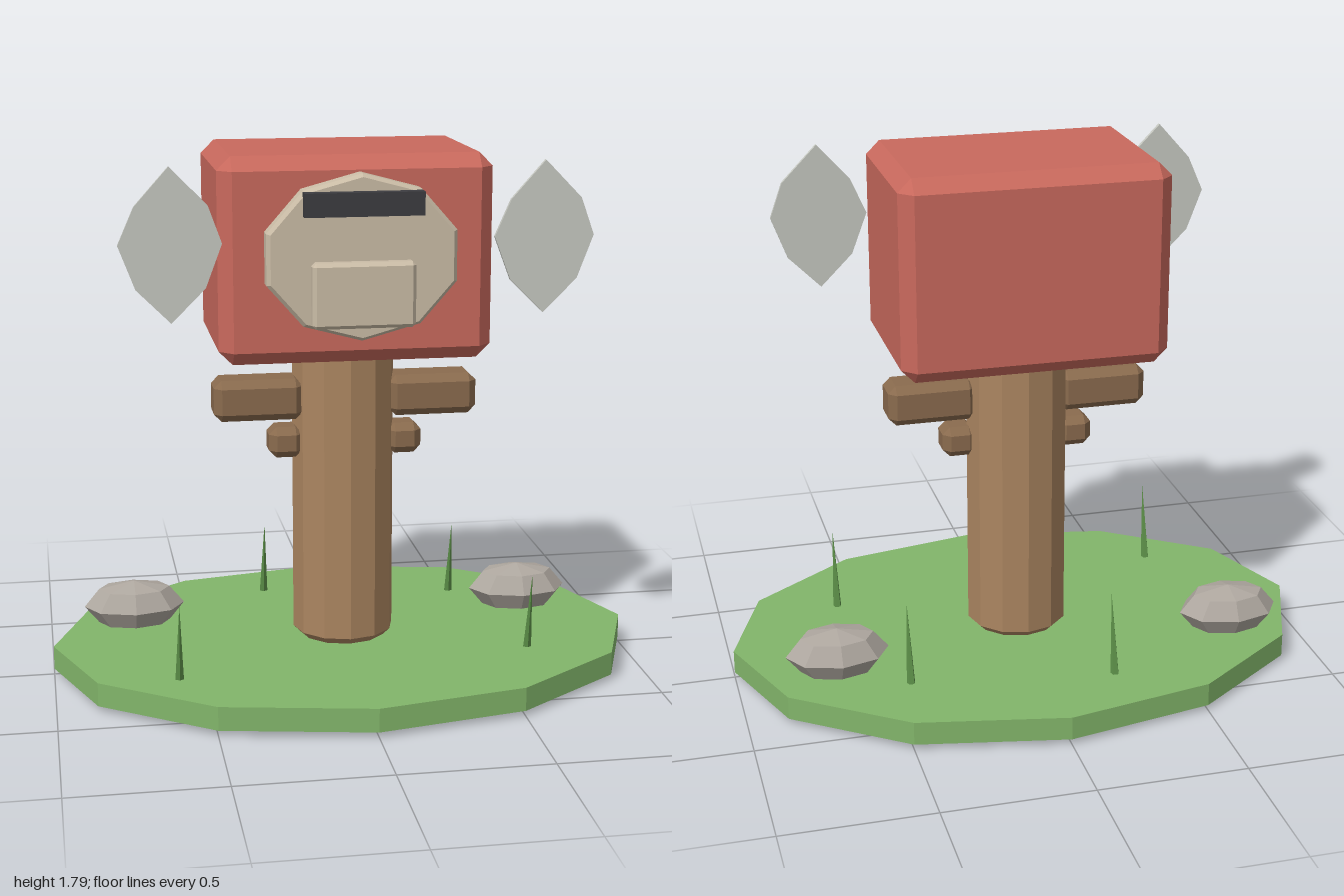
import * as THREE from 'three';
import { ConvexGeometry } from 'three/addons/geometries/ConvexGeometry.js';

function material(name, color) {
  const m = new THREE.MeshStandardMaterial({ color, flatShading: true });
  m.name = name;
  return m;
}

// Box with chamfered edges and corners
function chamferBox(w, h, d, c) {
  const points = [];
  for (const sx of [-1, 1]) for (const sy of [-1, 1]) for (const sz of [-1, 1]) {
    const x = w / 2, y = h / 2, z = d / 2;
    points.push(
      new THREE.Vector3(sx * x, sy * (y - c), sz * (z - c)),
      new THREE.Vector3(sx * (x - c), sy * y, sz * (z - c)),
      new THREE.Vector3(sx * (x - c), sy * (y - c), sz * z));
  }
  return new ConvexGeometry(points);
}

// Upright prism with chamfered rims
function chamferPrism(r, h, c, sides) {
  const profile = [[0, -h / 2], [r - c, -h / 2], [r, -h / 2 + c], [r, h / 2 - c], [r - c, h / 2], [0, h / 2]];
  return new THREE.LatheGeometry(profile.map(([x, y]) => new THREE.Vector2(x, y)), sides);
}

export function createModel() {
  const model = new THREE.Group();
  const red = material('red paint', 0xc9695d);
  const bark = material('trunk wood', 0xab8560);
  const wood = material('dark wood', 0x8a6b4e);
  const cream = material('cream', 0xcabca6);
  const black = material('charcoal', 0x3c3c40);
  const silver = material('pale grey', 0xc7c9c2);
  const green = material('grass green', 0x82b56a);
  const blade = material('blade green', 0x5c8f48);
  const stone = material('stone', 0xaea79f);

  function add(name, geometry, mat, x, y, z) {
    const mesh = new THREE.Mesh(geometry, mat);
    mesh.name = name;
    mesh.position.set(x, y, z);
    model.add(mesh);
    return mesh;
  }

  // Ground and post
  const disc = new THREE.CylinderGeometry(1, 1, 0.08, 12);
  disc.scale(1, 1, 0.72);
  add('ground', disc, green, 0, 0.06, 0);
  add('post', chamferPrism(0.173, 1.05, 0.025, 12), bark, 0, 0.63, 0);

  // Head box
  add('head', chamferBox(0.89, 0.67, 0.61, 0.045), red, 0, 1.455, 0);

  // Face plate with slot and flap
  const plate = chamferPrism(0.32, 0.075, 0.013, 10);
  plate.rotateX(Math.PI / 2);
  plate.scale(1, 0.83, 1);
  add('facePlate', plate, cream, 0, 1.478, 0.36);
  add('slot', new THREE.BoxGeometry(0.38, 0.075, 0.045), black, 0, 1.652, 0.414);
  add('flap', chamferBox(0.33, 0.21, 0.06, 0.012), cream, 0, 1.365, 0.408);

  // Floating side plates
  const outline = [[0, 0.243], [0.12, 0.12], [0.163, 0], [0.11, -0.14], [0, -0.25], [-0.11, -0.14], [-0.163, 0], [-0.11, 0.12]];
  const wing = new THREE.ExtrudeGeometry(
    new THREE.Shape(outline.map(([x, y]) => new THREE.Vector2(x, y))),
    { depth: 0.014, bevelEnabled: false });

  for (const side of [-1, 1]) {
    const label = side > 0 ? 'left' : 'right';
    add(label + 'SidePlate', wing, silver, side * 0.6, 1.527, 0.327);
    // Branch stubs
    add(label + 'UpperArm', chamferBox(0.3, 0.14, 0.145, 0.026), wood, side * 0.295, 0.955, 0.022);
    add(label + 'LowerArm', chamferBox(0.115, 0.105, 0.118, 0.025), wood, side * 0.202, 0.803, 0.02);
  }

  // Rocks
  for (const [x, z] of [[-0.71, -0.222], [0.673, -0.2]]) {
    const rock = new THREE.SphereGeometry(1, 8, 4);
    rock.scale(0.175, 0.088, 0.12);
    add('rock', rock, stone, x, 0.16, z);
  }

  // Grass blades leaning forward
  for (const [x, z] of [[-0.6, 0.382], [0.597, 0.27], [0.455, -0.348], [-0.22, -0.455]]) {
    const grass = add('grassBlade', new THREE.ConeGeometry(0.02, 0.373, 5), blade, x, 0.188, z);
    grass.rotation.x = 0.19;
  }

  return model;
}
